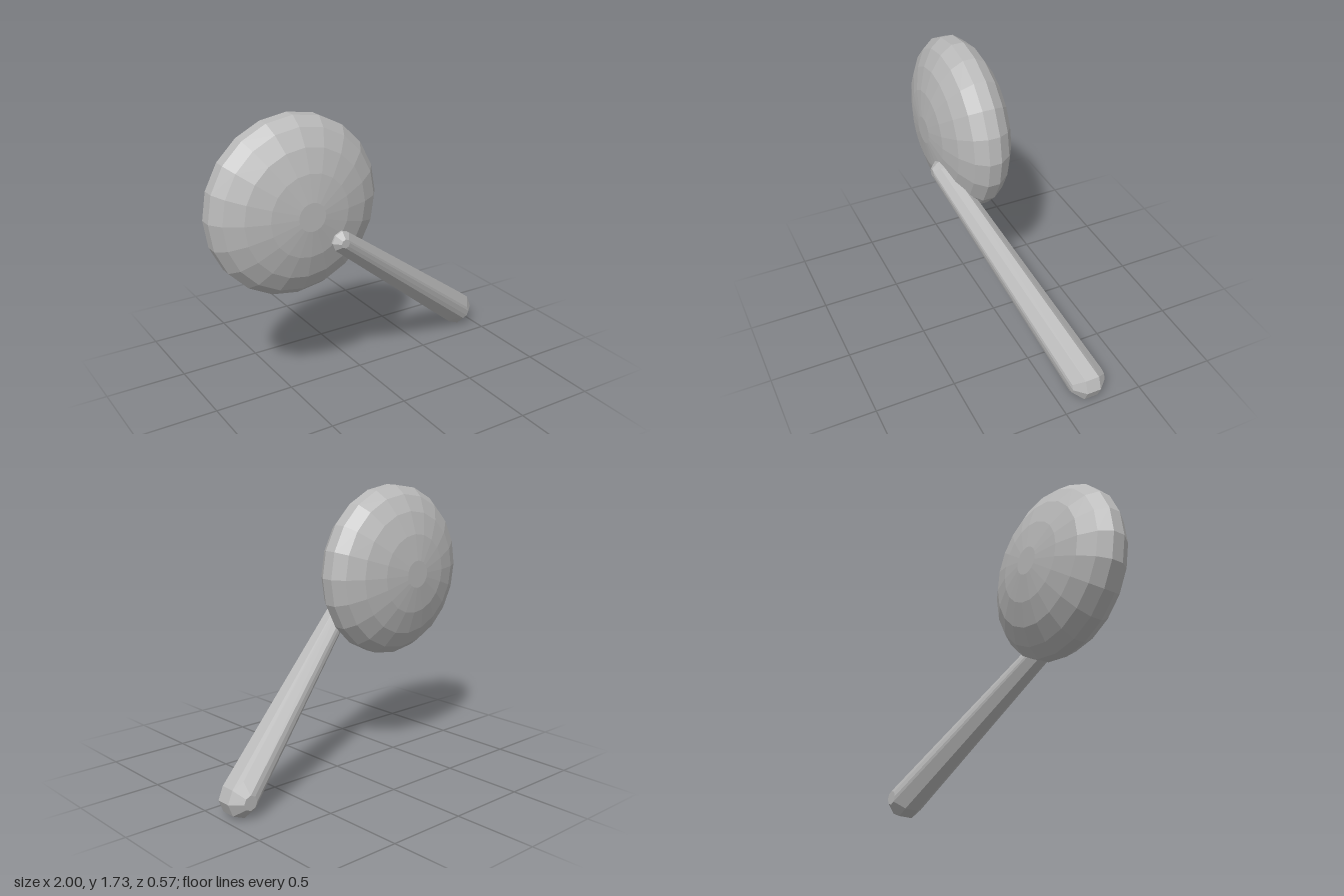
import * as THREE from 'three';
import { ConvexGeometry } from 'three/addons/geometries/ConvexGeometry.js';

const rad = THREE.MathUtils.degToRad;

// Rings of a ball with flat poles on the z axis
function ballPoints(center, radius, segments, latitudes) {
  const points = [];
  for (const lat of latitudes) {
    const r = radius * Math.cos(rad(lat));
    const z = radius * Math.sin(rad(lat));
    for (let i = 0; i < segments; i++) {
      const a = (i / segments) * Math.PI * 2;
      points.push(new THREE.Vector3(
        center[0] + r * Math.cos(a), center[1] + r * Math.sin(a), center[2] + z));
    }
  }
  return points;
}

export function createModel() {
  const model = new THREE.Group();
  model.name = 'candy';
  const grey = new THREE.MeshStandardMaterial({ color: 0xb8b8b8, flatShading: true });
  grey.name = 'plain grey';

  // Head: flattened ball of 20 sides with small flat poles front and back
  const radius = 0.541, depth = 0.243;
  const profile = [new THREE.Vector2(0, -depth * Math.sin(rad(81)))];
  for (let lat = -81; lat <= 81; lat += 18) {
    profile.push(new THREE.Vector2(radius * Math.cos(rad(lat)), depth * Math.sin(rad(lat))));
  }
  profile.push(new THREE.Vector2(0, depth * Math.sin(rad(81))));
  const headGeometry = new THREE.LatheGeometry(profile, 20);
  headGeometry.rotateX(Math.PI / 2);
  const head = new THREE.Mesh(headGeometry, grey);
  head.name = 'head';
  head.position.set(-0.465, 1.2, 0.015);
  model.add(head);

  // Stick: hull around a small upper ball and a larger lower ball, 8 sides each
  const latitudes = [-67.5, -22.5, 22.5, 67.5];
  const stick = new THREE.Mesh(new ConvexGeometry([
    ...ballPoints([-0.272, 1.01, 0.22], 0.07, 8, latitudes),
    ...ballPoints([0.893, 0.107, -0.182], 0.116, 8, latitudes),
  ]), grey);
  stick.name = 'stick';
  model.add(stick);

  return model;
}
